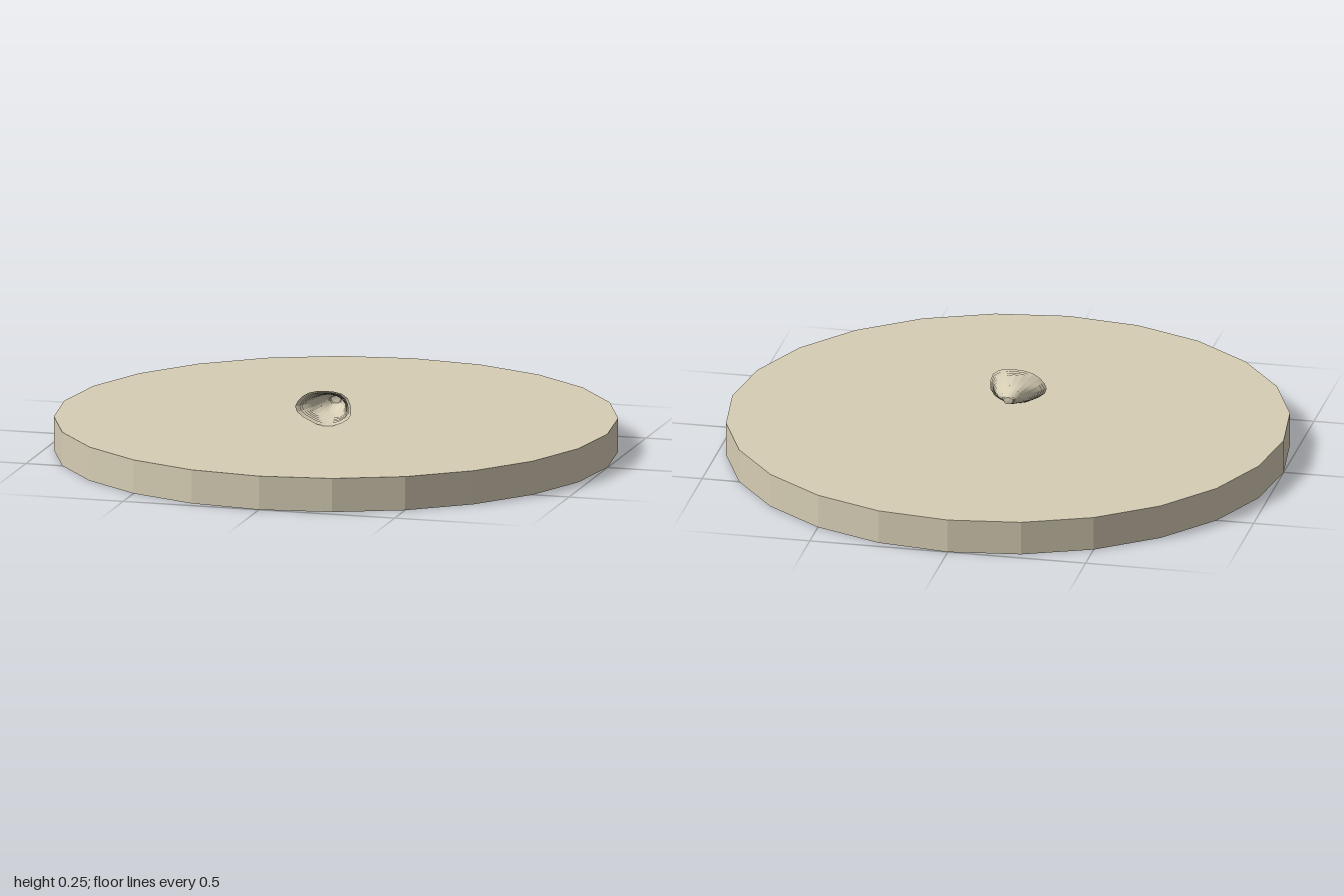
import * as THREE from 'three';

const stone = new THREE.MeshStandardMaterial({ color: 0xd6cdb4, flatShading: true, side: THREE.DoubleSide });
stone.name = 'pale stone';

// Corrugated open cone: stepped cross-sections growing from the tip to the mouth
function corrugatedCone(steps, sides) {
  const positions = [], index = [];
  const ring = (t, z, scale) => {
    const rx = (0.02 + 0.083 * t) * scale, ry = (0.015 + 0.049 * t) * scale;
    for (let i = 0; i < sides; i++) {
      const a = (i / sides) * Math.PI * 2;
      // gentle uneven rim that drifts from step to step
      const k = 1 + 0.04 * Math.sin(3 * a + 5 * t) + 0.025 * Math.sin(5 * a - 9 * t);
      positions.push(rx * k * Math.cos(a), 0.187 + ry * k * Math.sin(a), z);
    }
  };
  const depth = 0.148;
  for (let s = 0; s < steps; s++) {
    const t = s / (steps - 1);
    ring(t, (s + 0.15) / steps * depth, 0.86);
    ring(t, (s + 1) / steps * depth, 1);
  }
  const rows = steps * 2;
  for (let r = 0; r < rows - 1; r++) {
    for (let i = 0; i < sides; i++) {
      const a = r * sides + i, b = r * sides + (i + 1) % sides;
      index.push(a, b, a + sides, b, b + sides, a + sides);
    }
  }
  // closed tip
  const tip = positions.length / 3;
  positions.push(0, 0.187, 0);
  for (let i = 0; i < sides; i++) index.push(tip, (i + 1) % sides, i);
  const g = new THREE.BufferGeometry();
  g.setAttribute('position', new THREE.Float32BufferAttribute(positions, 3));
  g.setIndex(index);
  const flat = g.toNonIndexed();
  flat.computeVertexNormals();
  return flat;
}

export function createModel() {
  const group = new THREE.Group();
  group.name = 'discWithCone';

  // Round base slab
  const base = new THREE.Mesh(new THREE.CylinderGeometry(1, 1, 0.122, 24), stone);
  base.position.y = 0.061;
  base.name = 'baseDisc';
  group.add(base);

  // Small ridged cone lying on the slab, mouth to the front
  const cone = new THREE.Mesh(corrugatedCone(14, 20), stone);
  cone.name = 'ridgedCone';
  group.add(cone);

  return group;
}
